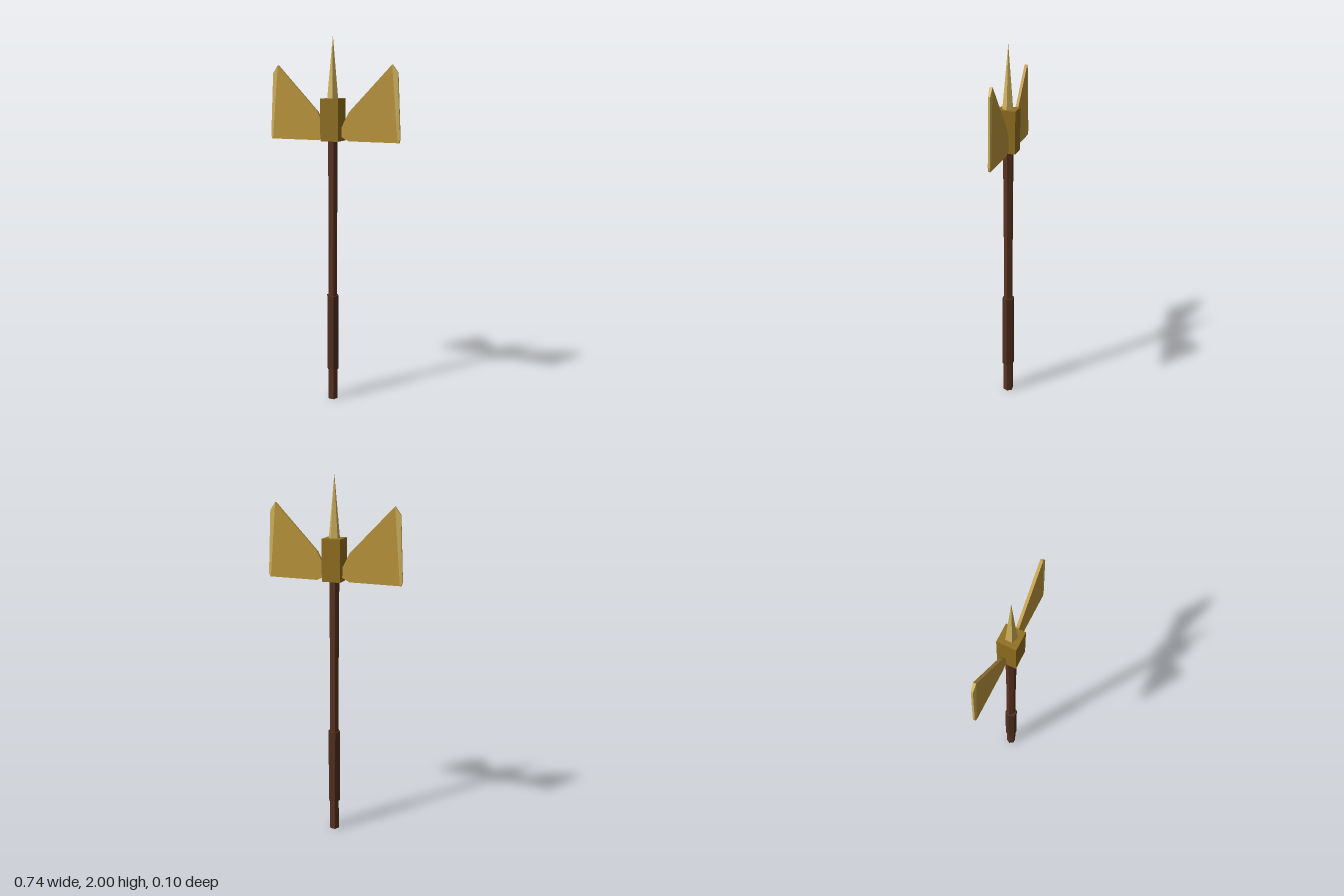
import * as THREE from 'three';
import { ConvexGeometry } from 'three/addons/geometries/ConvexGeometry.js';

const material = (name, color) => {
  const m = new THREE.MeshStandardMaterial({ color });
  m.name = name;
  m.flatShading = true;
  return m;
};

export function createModel() {
  const gold = material('gold', 0xbe983c);
  const darkGold = material('dark gold', 0x92701f);
  const paleGold = material('pale gold', 0xd2b560);
  const wood = material('dark wood', 0x5a3322);
  const grip = material('grip brown', 0x523020);

  const model = new THREE.Group();
  const add = (name, geometry, mat, y = 0, turn = 0) => {
    const mesh = new THREE.Mesh(geometry, mat);
    mesh.name = name;
    mesh.position.y = y;
    mesh.rotation.y = turn;
    model.add(mesh);
    return mesh;
  };

  // Hexagonal shaft with a slight waist, and a thicker grip sleeve
  const profile = [[0, 0], [0.028, 0], [0.025, 0.93], [0.028, 1.47], [0, 1.47]]
    .map(([r, y]) => new THREE.Vector2(r, y));
  add('shaft', new THREE.LatheGeometry(profile, 6), wood, 0, Math.PI / 2);
  add('grip', new THREE.CylinderGeometry(0.034, 0.034, 0.43, 6), grip, 0.395, Math.PI / 2);

  // Square head block with a five-sided spike
  add('headBlock', new THREE.BoxGeometry(0.1, 0.22, 0.1), darkGold, 1.57);
  add('spike', new THREE.ConeGeometry(0.03, 0.32, 5), paleGold, 1.84, Math.PI / 2);

  // Pair of fan-shaped blades, lying slightly behind the middle
  const thick = 0.015;
  const midZ = -0.0085;
  for (const [side, s] of [['left', 1], ['right', -1]]) {
    const outline = [[0.03, 1.49], [0.09, 1.46], [0.358, 1.46], [0.322, 1.85], [0.09, 1.61], [0.03, 1.49]];
    outline.splice(5, 1, [0.048, 1.53], [0.03, 1.51]);
    const shape = new THREE.Shape(outline.map(([x, y]) => new THREE.Vector2(s * x, y)));
    const body = new THREE.ExtrudeGeometry(shape, { depth: thick, bevelEnabled: false });
    body.translate(0, 0, midZ - thick / 2);
    add(side + 'Blade', body, gold);

    // Bevelled cutting edge, thinner toward the rim
    const points = [];
    for (const [x, y, half] of [
      [0.358, 1.46, thick / 2], [0.322, 1.85, thick / 2],
      [0.352, 1.81, 0.005], [0.37, 1.48, 0.005], [0.365, 1.46, 0.005],
    ]) {
      for (const f of [-1, 1]) points.push(new THREE.Vector3(s * x, y, midZ + f * half));
    }
    add(side + 'CuttingEdge', new ConvexGeometry(points), paleGold);
  }
  return model;
}
